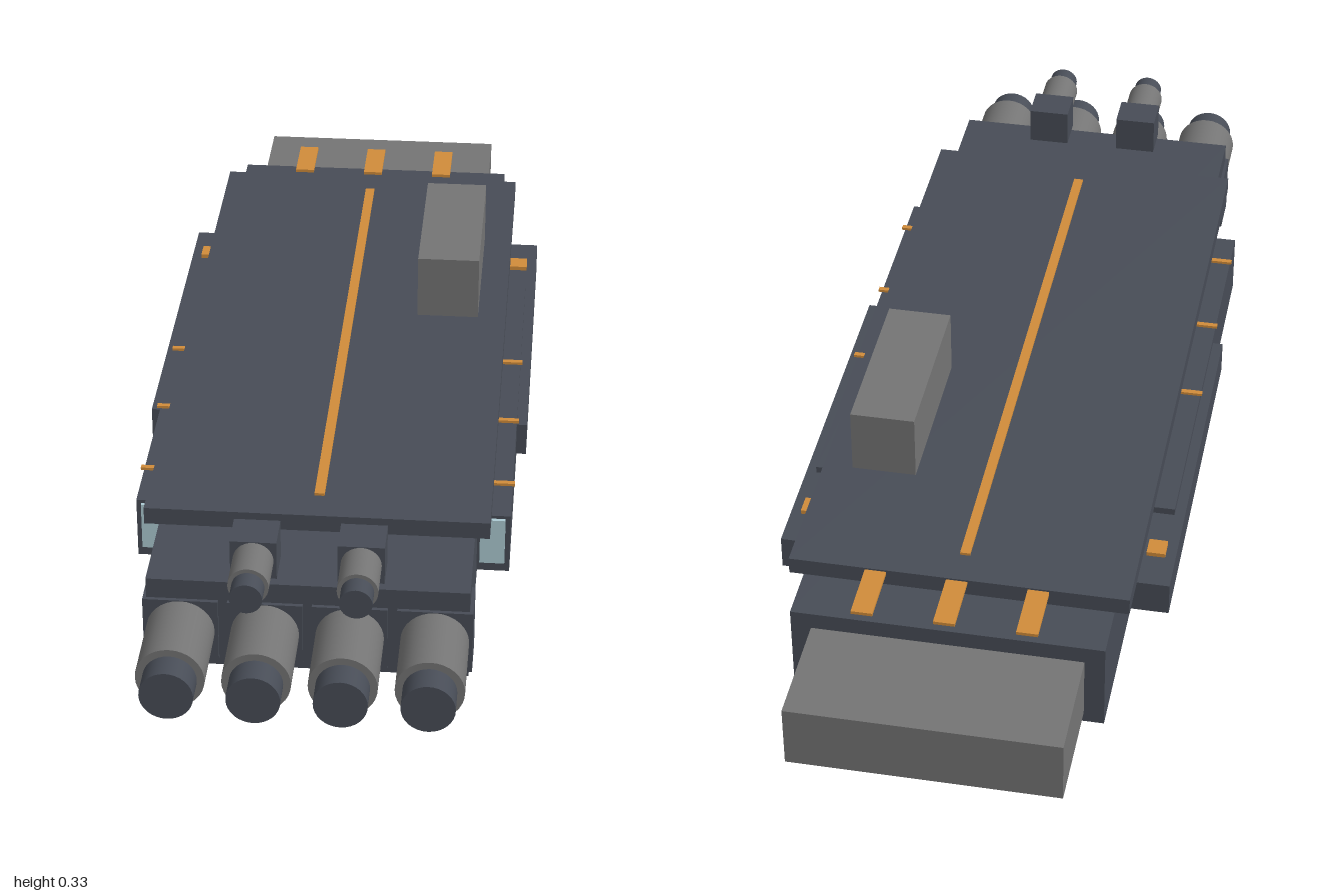
import * as THREE from 'three';

const mat = (name, color) => {
  const m = new THREE.MeshStandardMaterial({ color });
  m.name = name;
  return m;
};

export function createModel() {
  const hullMat = mat('dark hull', 0x474c56);
  const greyMat = mat('mid grey', 0x747474);
  const orangeMat = mat('orange trim', 0xd08c3a);
  const glassMat = mat('pale blue glow', 0xaccad2);
  const model = new THREE.Group();
  model.name = 'ship';

  // Box given by its lower and upper limits on each axis
  const box = (name, material, [x0, x1], [y0, y1], [z0, z1], parent = model) => {
    const mesh = new THREE.Mesh(new THREE.BoxGeometry(x1 - x0, y1 - y0, z1 - z0), material);
    mesh.position.set((x0 + x1) / 2, (y0 + y1) / 2, (z0 + z1) / 2);
    mesh.name = name;
    parent.add(mesh);
  };

  // Cylinder lying along z
  const tube = (name, material, r, x, y, [z0, z1], parent) => {
    const mesh = new THREE.Mesh(new THREE.CylinderGeometry(r, r, z1 - z0, 32).rotateX(Math.PI / 2), material);
    mesh.position.set(x, y, (z0 + z1) / 2);
    mesh.name = name;
    parent.add(mesh);
  };

  // Hull, deck, tower and stern block
  box('hull', hullMat, [-0.278, 0.278], [0, 0.172], [-0.79, 0.8]);
  box('deck', hullMat, [-0.304, 0.304], [0.172, 0.204], [-0.69, 0.63]);
  box('tower', greyMat, [0.132, 0.25], [0.204, 0.328], [-0.425, -0.1]);
  box('sternBlock', greyMat, [-0.242, 0.242], [0.02, 0.14], [-1, -0.79]);

  // Orange deck line and stern markers
  box('deckLine', orangeMat, [-0.009, 0.009], [0.204, 0.209], [-0.625, 0.565]);
  for (const x of [-0.145, 0, 0.145]) {
    box('sternMarker', orangeMat, [x - 0.019, x + 0.019], [0.204, 0.21], [-0.81, -0.7]);
  }

  // Side pods, mirrored
  for (const s of [1, -1]) {
    const pod = new THREE.Group();
    pod.name = s > 0 ? 'leftPod' : 'rightPod';
    model.add(pod);
    const span = (a, b) => (s > 0 ? [a, b] : [-b, -a]);
    box('podBody', hullMat, span(0.27, 0.337), [0.022, 0.139], [-0.36, 0.505], pod);
    box('podRail', hullMat, span(0.27, 0.356), [0.062, 0.126], [-0.555, 0.168], pod);
    box('podFrontPanel', glassMat, span(0.283, 0.328), [0.042, 0.133], [0.505, 0.512], pod);
    box('railPad', orangeMat, span(0.303, 0.337), [0.126, 0.134], [-0.48, -0.443], pod);
    box('hullLight', glassMat, span(0.276, 0.284), [0.129, 0.138], [-0.602, -0.575], pod);
    for (const z of [-0.025, 0.193, 0.412]) {
      box('podBand', orangeMat, span(0.276, 0.341), [0.147, 0.152], [z - 0.005, z + 0.005], pod);
    }
  }

  // Barrel with housing and darker tip
  const gun = (name, x, y, halfW, halfH, r, tipR, [zBack, zBox, zBarrel, zTip]) => {
    const g = new THREE.Group();
    g.name = name;
    model.add(g);
    box('housing', hullMat, [x - halfW, x + halfW], [y - halfH, y + halfH], [zBack, zBox], g);
    tube('barrel', greyMat, r, x, y, [zBox - 0.01, zBarrel], g);
    tube('barrelTip', hullMat, tipR, x, y, [zBarrel - 0.01, zTip], g);
  };
  for (const i of [-1.5, -0.5, 0.5, 1.5]) {
    gun('mainBarrel', i * 0.146, 0.074, 0.065, 0.06, 0.059, 0.046, [0.725, 0.807, 0.95, 1]);
  }
  for (const s of [-1, 1]) {
    gun('upperBarrel', s * 0.092, 0.22, 0.04, 0.036, 0.035, 0.028, [0.73, 0.8, 0.88, 0.917]);
  }

  return model;
}
